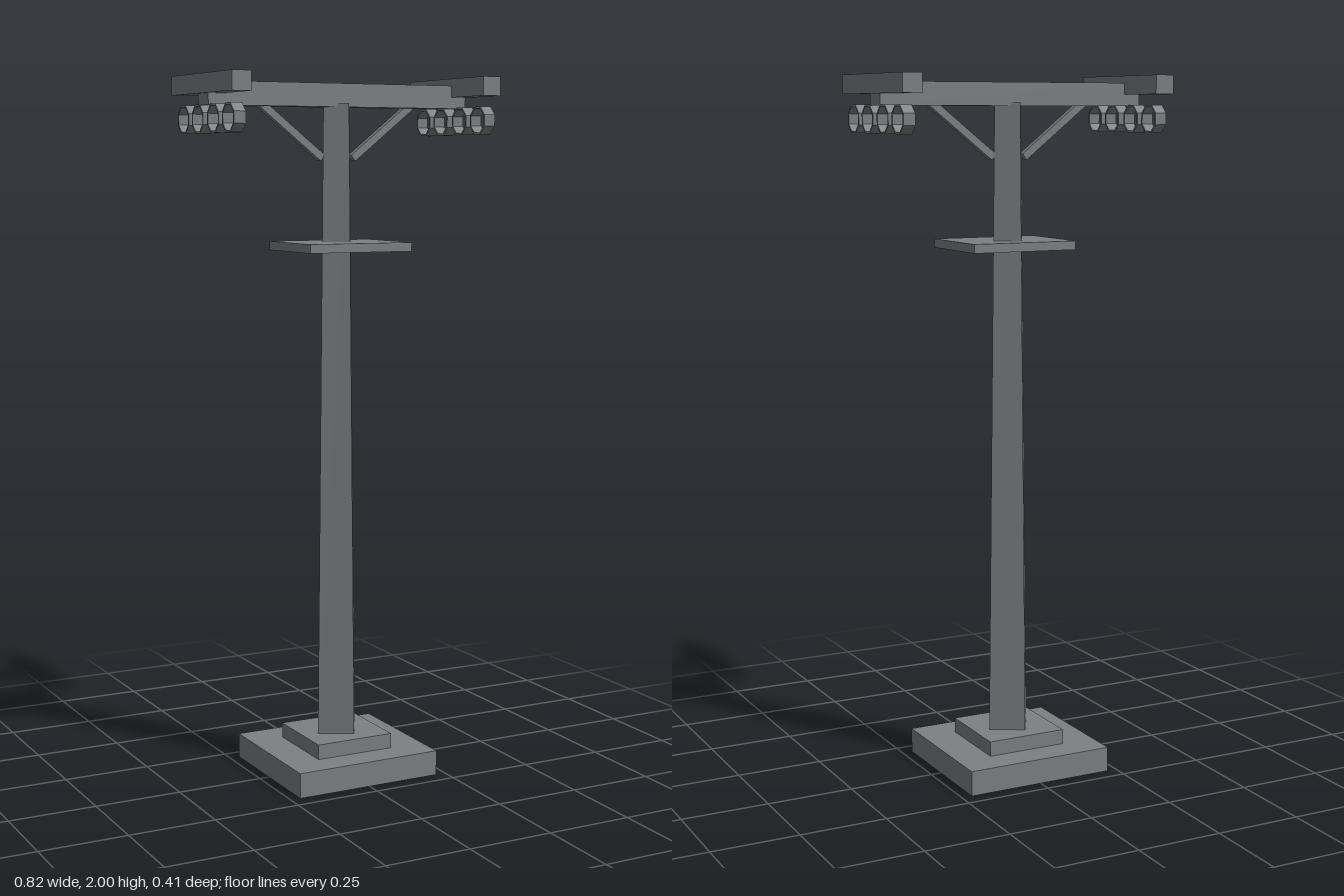
import * as THREE from 'three';

export function createModel() {
  const group = new THREE.Group();
  const steel = new THREE.MeshStandardMaterial({ color: 0x7d8084, flatShading: true, side: THREE.DoubleSide });
  steel.name = 'grey steel';

  const add = (name, geometry, x = 0, y = 0, z = 0) => {
    const mesh = new THREE.Mesh(geometry, steel);
    mesh.name = name;
    mesh.position.set(x, y, z);
    group.add(mesh);
    return mesh;
  };
  // Box given by its extents along each axis
  const box = (name, [x0, x1], [y0, y1], [z0, z1]) =>
    add(name, new THREE.BoxGeometry(x1 - x0, y1 - y0, z1 - z0), (x0 + x1) / 2, (y0 + y1) / 2, (z0 + z1) / 2);

  // Stepped foundation; the lower block is hollow and open underneath
  const footing = box('footing', [-0.221, 0.22], [0, 0.072], [-0.207, 0.205]);
  const faces = Array.from(footing.geometry.index.array);
  faces.splice(18, 6);
  footing.geometry.setIndex(faces);
  footing.geometry.clearGroups();
  box('plinth', [-0.12, 0.117], [0.072, 0.115], [-0.119, 0.119]);

  // Tapered square mast, turned slightly about its axis
  const mast = add('mast', new THREE.CylinderGeometry(0.0505, 0.0745, 1.82, 4), 0, 1.015, 0);
  mast.rotation.y = THREE.MathUtils.degToRad(16);

  // Service platform and top beam
  box('platform', [-0.16, 0.157], [1.516, 1.541], [-0.106, 0.154]);
  box('topBeam', [-0.405, 0.402], [1.915, 1.98], [-0.036, 0.032]);

  // Octagonal ring, flat side up, with its axis along x
  const octagon = (radius) => Array.from({ length: 8 }, (_, i) => {
    const a = (i + 0.5) * Math.PI / 4;
    return new THREE.Vector2(radius * Math.cos(a), radius * Math.sin(a));
  });
  const ringShape = new THREE.Shape(octagon(0.042));
  ringShape.holes.push(new THREE.Path(octagon(0.036)));
  const ringGeometry = new THREE.ExtrudeGeometry(ringShape, { depth: 0.034, bevelEnabled: false });
  ringGeometry.translate(0, 0, -0.017).rotateY(Math.PI / 2);

  for (const side of [-1, 1]) {
    const label = side > 0 ? 'left' : 'right';
    // Crossbar at each end of the beam
    add(label + 'Crossbar', new THREE.BoxGeometry(0.056, 0.053, 0.412), side * 0.384, 1.9735, -0.002);

    // Cable rings below the crossbar
    for (const z of [0.153, 0.054, -0.05, -0.149]) {
      add(label + 'CableRing', ringGeometry, side * 0.385, 1.879, z);
    }

    // Diagonal brace from mast to beam
    const low = new THREE.Vector2(0.048, 1.774), high = new THREE.Vector2(0.24, 1.925);
    const brace = add(label + 'Brace', new THREE.BoxGeometry(low.distanceTo(high), 0.021, 0.021),
      side * (low.x + high.x) / 2, (low.y + high.y) / 2, 0);
    brace.rotation.z = side * Math.atan2(high.y - low.y, high.x - low.x);
  }
  return group;
}
